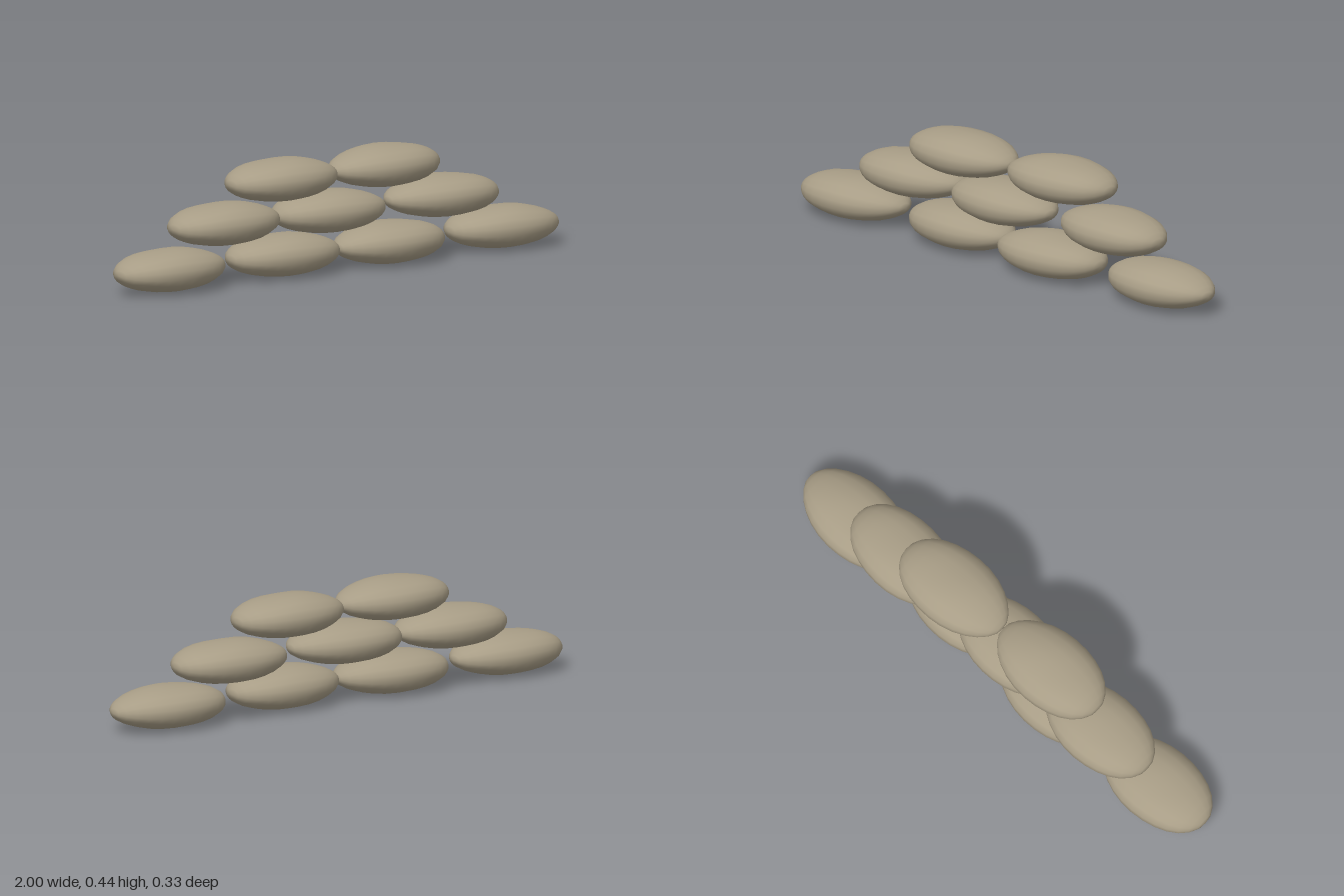
import * as THREE from 'three';
import { mergeVertices } from 'three/addons/utils/BufferGeometryUtils.js';

const HALF = { x: 0.238, y: 0.078, z: 0.147 };

// One filled sack: a sphere with poles along x, squashed, fuller at one end, slightly lumpy
function sackGeometry() {
  const ball = new THREE.SphereGeometry(1, 18, 14);
  ball.rotateZ(Math.PI / 2);
  ball.deleteAttribute('uv');
  ball.deleteAttribute('normal');
  const geometry = mergeVertices(ball, 1e-4);
  const p = geometry.attributes.position;
  const full = (v, e) => Math.sign(v) * Math.pow(Math.abs(v), e);
  for (let i = 0; i < p.count; i++) {
    const x = p.getX(i), y = p.getY(i), z = p.getZ(i);
    const r = Math.hypot(y, z) || 1;
    // slightly boxy cross-section, thinner towards the +x end
    const a = full(y / r, 0.92) * r, b = full(z / r, 0.92) * r;
    const taper = 1 - 0.07 * x * Math.abs(x);
    const lump = 1 + 0.02 * Math.sin(5 * x + 3 * z) * (1 - x * x);
    p.setXYZ(i, x * HALF.x, a * HALF.y * taper * (y > 0 ? lump : 1), b * HALF.z * taper);
  }
  geometry.computeVertexNormals();
  return geometry;
}

export function createModel() {
  const group = new THREE.Group();
  group.name = 'sandbagWall';
  const geometry = sackGeometry();
  const material = new THREE.MeshStandardMaterial({ color: 0xa89d86 });

  // Rows from the ground up; each bag is [x, z, yaw]
  const rows = [
    { name: 'bottomBag', y: 0.081, bags: [[-0.762, 0.012, 0.04], [-0.238, 0, -0.03], [0.228, 0.02, Math.PI + 0.04], [0.762, -0.002, -0.03]] },
    { name: 'middleBag', y: 0.222, bags: [[-0.495, -0.015, 0.03], [-0.027, -0.003, -0.03], [0.497, -0.022, Math.PI - 0.04]] },
    { name: 'topBag', y: 0.362, bags: [[-0.238, -0.008, 0.02], [0.237, -0.024, Math.PI + 0.04]] },
  ];
  for (const row of rows) {
    row.bags.forEach(([x, z, yaw], i) => {
      const bag = new THREE.Mesh(geometry, material);
      bag.name = `${row.name}${i + 1}`;
      bag.position.set(x, row.y, z);
      bag.rotation.y = yaw;
      group.add(bag);
    });
  }
  return group;
}
